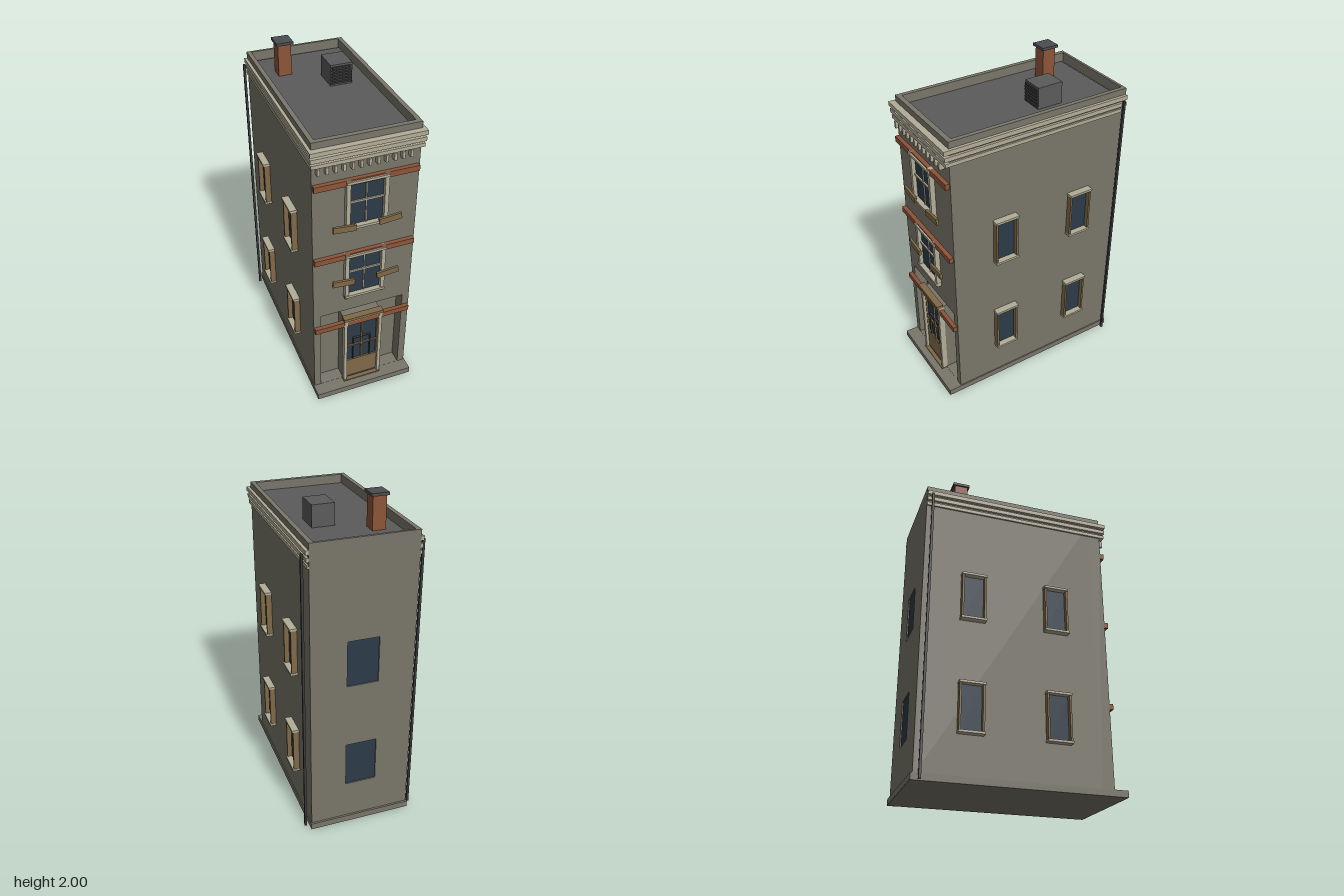
import * as THREE from 'three';

const mat = (name, color) => {
  const m = new THREE.MeshStandardMaterial({ color });
  m.name = name;
  return m;
};

export function createModel() {
  const M = {
    wall: mat('stone wall', 0x79766a),
    trim: mat('pale trim', 0xb3ad98),
    brick: mat('brick', 0x8c5539),
    wood: mat('tan wood', 0x806a48),
    glass: mat('window glass', 0x2c3a47),
    roof: mat('roof felt', 0x5b5b5b),
    metal: mat('dark metal', 0x3c3c3e),
    cap: mat('chimney cap', 0x4b4d50),
  };
  const root = new THREE.Group();
  root.name = 'townhouse';

  const group = (name, parent = root) => {
    const g = new THREE.Group();
    g.name = name;
    parent.add(g);
    return g;
  };
  // box given by its extents on each axis
  const box = (name, m, [x0, x1], [y0, y1], [z0, z1], parent = root) => {
    const mesh = new THREE.Mesh(new THREE.BoxGeometry(x1 - x0, y1 - y0, z1 - z0), m);
    mesh.position.set((x0 + x1) / 2, (y0 + y1) / 2, (z0 + z1) / 2);
    mesh.name = name;
    parent.add(mesh);
    return mesh;
  };
  const rect = (P, [x0, x1], [y0, y1]) => {
    const p = new P();
    p.moveTo(x0, y0);
    p.lineTo(x1, y0);
    p.lineTo(x1, y1);
    p.lineTo(x0, y1);
    p.closePath();
    return p;
  };
  // flat slab with rectangular openings
  const slab = (name, m, xs, ys, depth, holes) => {
    const s = rect(THREE.Shape, xs, ys);
    holes.forEach(([hx, hy]) => s.holes.push(rect(THREE.Path, hx, hy)));
    const mesh = new THREE.Mesh(new THREE.ExtrudeGeometry(s, { depth, bevelEnabled: false }), m);
    mesh.name = name;
    root.add(mesh);
    return mesh;
  };

  const W = 0.312, F = 0.543, B = -0.613, ROOF = 1.785, TOP = 1.845;
  const rows = [[0.28, 0.565], [0.965, 1.25]];

  // walls: solid core, front with shop recess, back with window openings
  box('base', M.wall, [-0.318, 0.318], [0, 0.04], [-0.625, 0.625]);
  box('core', M.wall, [-W, W], [0.04, ROOF], [B + 0.015, F - 0.08]);
  slab('frontWall', M.wall, [-W, W], [0.04, ROOF], 0.08, [[[-0.268, 0.268], [0.041, 0.635]]]).position.z = F - 0.08;
  slab('backWall', M.wall, [-W, W], [0.04, ROOF], 0.015,
    rows.map((r) => [[-0.095, 0.095], r])).position.z = B;
  rows.forEach(([y0, y1]) => box('backWindow', M.glass, [-0.095, 0.095], [y0, y1], [B + 0.007, B + 0.015]));

  // roof and parapet
  box('roofDeck', M.roof, [-0.285, 0.285], [ROOF, ROOF + 0.005], [-0.585, 0.513]);
  const parapet = slab('parapet', M.wall, [-W, W], [-F, -B], TOP - ROOF, [[[-0.285, 0.285], [-0.513, 0.597]]]);
  parapet.rotation.x = -Math.PI / 2;
  parapet.position.y = ROOF;

  // cornice bands run round the front and both sides
  [[1.78, 1.806, 0.33, 0.58], [1.74, 1.765, 0.326, 0.575], [1.704, 1.726, 0.322, 0.57]].forEach(([y0, y1, x, z]) => {
    const g = group('corniceBand');
    box('frontBand', M.trim, [-x, x], [y0, y1], [F - 0.005, z], g);
    [-1, 1].forEach((s) => box('sideBand', M.trim, s < 0 ? [-x, -W + 0.005] : [W - 0.005, x], [y0, y1], [-0.612, F - 0.005], g));
  });
  for (let i = 0; i < 12; i++) {
    const x = -0.281 + i * 0.048;
    box('dentil', M.trim, [x - 0.008, x + 0.008], [1.657, 1.7], [F, 0.573]);
  }

  // brick bands
  [0.52, 1.055, 1.555].forEach((y) => box('brickBand', M.brick, [-0.308, 0.303], [y, y + 0.035], [F, 0.569]));

  // front sash windows with propped boards
  [[0.77, 1.06, 0.943, 0.893], [1.275, 1.56, 1.435, 1.286]].forEach(([y0, y1, rail, boardY]) => {
    const g = group('frontWindow');
    box('pane', M.glass, [-0.1, 0.1], [y0, y1], [F, F + 0.006], g);
    box('meetingRail', M.trim, [-0.1, 0.1], [rail - 0.006, rail + 0.006], [F, F + 0.015], g);
    box('glazingBar', M.trim, [-0.004, 0.004], [y0, y1], [F, F + 0.012], g);
    box('lintel', M.trim, [-0.125, 0.125], [y1 + 0.006, y1 + 0.022], [F, 0.58], g);
    box('sill', M.trim, [-0.125, 0.125], [y0 - 0.008, y0 + 0.008], [F, 0.579], g);
    [-1, 1].forEach((s) => {
      const c = s * 0.112;
      box('jamb', M.trim, [c - 0.012, c + 0.012], [y0, y1 + 0.03], [F, 0.573], g);
      box('sillBracket', M.trim, [c - 0.01, c + 0.01], [y0 - 0.022, y0], [F, 0.57], g);
      const board = box('board', M.wood, [s * 0.137 - 0.068, s * 0.137 + 0.068],
        [boardY - 0.019, boardY + 0.019], [0.572, 0.587], g);
      board.rotation.z = s * 0.09;
    });
  });

  // entrance door and its surround
  const door = group('door');
  box('doorBacking', M.wall, [-0.12, 0.12], [0.04, 0.575], [F - 0.08, F - 0.005], door);
  box('doorGlass', M.glass, [-0.105, 0.105], [0.2, 0.525], [F - 0.005, F + 0.002], door);
  box('doorPanel', M.wood, [-0.105, 0.105], [0.062, 0.2], [F - 0.005, F + 0.012], door);
  box('kickPlate', M.metal, [-0.105, 0.105], [0.048, 0.062], [F - 0.005, F + 0.012], door);
  box('threshold', M.wood, [-0.125, 0.125], [0.036, 0.047], [F - 0.005, 0.58], door);
  box('doorRail', M.wood, [-0.105, 0.105], [0.32, 0.33], [F, F + 0.012], door);
  box('doorBar', M.wood, [-0.005, 0.005], [0.2, 0.525], [F, F + 0.012], door);
  box('pullTop', M.metal, [-0.058, 0.058], [0.381, 0.386], [F, F + 0.014], door);
  [-1, 1].forEach((s) => {
    box('doorStile', M.wood, [s * 0.102 - 0.004, s * 0.102 + 0.004], [0.05, 0.525], [F, F + 0.012], door);
    box('pullSide', M.metal, [s * 0.056 - 0.0025, s * 0.056 + 0.0025], [0.2, 0.386], [F, F + 0.014], door);
    box('doorPost', M.trim, [s * 0.114 - 0.01, s * 0.114 + 0.01], [0.04, 0.575], [F - 0.005, 0.573], door);
  });
  box('doorHead', M.trim, [-0.118, 0.118], [0.556, 0.572], [F, 0.573], door);
  box('doorHood', M.wood, [-0.13, 0.126], [0.572, 0.592], [F, 0.585], door);

  // side windows and drainpipes, mirrored
  [-1, 1].forEach((s) => {
    const span = (a, b) => (s > 0 ? [a, b] : [-b, -a]);
    [0.21, -0.308].forEach((z) => rows.forEach(([y0, y1]) => {
      const g = group('sideWindow');
      box('pane', M.glass, span(W, W + 0.007), [y0, y1], [z - 0.065, z + 0.065], g);
      box('lintel', M.trim, span(W, 0.355), [y1 - 0.006, y1 + 0.008], [z - 0.077, z + 0.077], g);
      box('sill', M.trim, span(W, 0.355), [y0 - 0.008, y0 + 0.006], [z - 0.077, z + 0.077], g);
      [-1, 1].forEach((t) => box('jamb', M.wood, span(W, 0.348), [y0, y1],
        [z + t * 0.068 - 0.006, z + t * 0.068 + 0.006], g));
    }));
    box('drainpipe', M.metal, span(0.334, 0.348), [0.005, 1.78], [-0.587, -0.573]);
  });

  // chimney
  const chimney = group('chimney');
  box('stack', M.brick, [-0.197, -0.117], [ROOF, 1.985], [-0.41, -0.328], chimney);
  box('chimneyCap', M.cap, [-0.207, -0.105], [1.983, 2], [-0.422, -0.316], chimney);

  // rooftop cooling unit with louvres on its front
  const unit = group('coolingUnit');
  box('unitBody', M.roof, [0.042, 0.176], [ROOF, 1.92], [-0.257, -0.098], unit);
  for (let i = 0; i < 6; i++) {
    const y = 1.802 + i * 0.019;
    box('louvre', M.metal, [0.049, 0.168], [y, y + 0.011], [-0.098, -0.09], unit);
  }
  return root;
}
